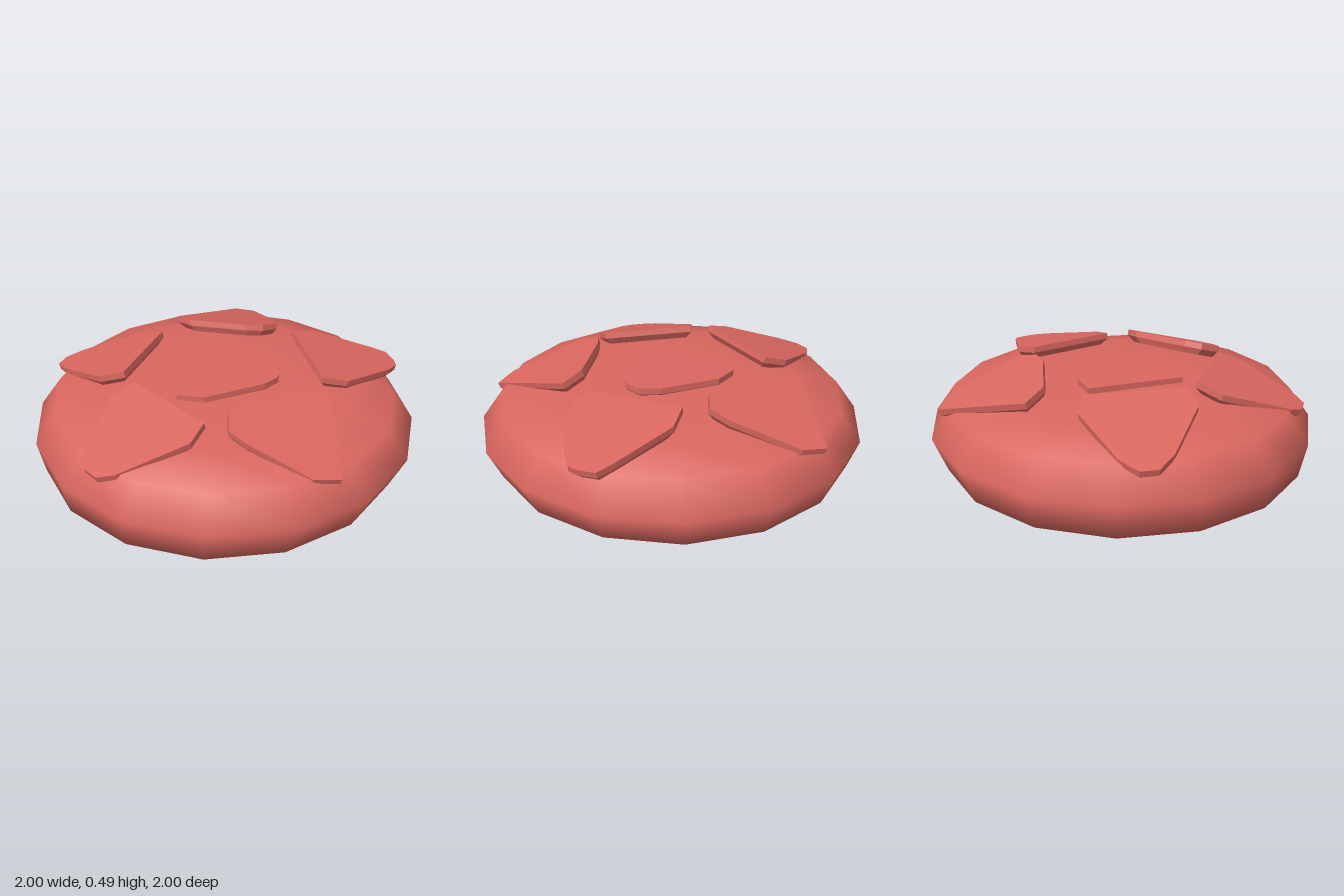
import * as THREE from 'three';

const dough = new THREE.MeshStandardMaterial({ color: 0xd9675f });
dough.name = 'reddish dough';

// Round body: sixteen-sided, smooth, with a slightly shifted base ring
function makeBody() {
  const profile = [[0, 0], [0.6, 0], [0.945, 0], [1, 0.17], [0.89, 0.32], [0.66, 0.37], [0.35, 0.385], [0, 0.388]];
  const geo = new THREE.LatheGeometry(profile.map(([r, y]) => new THREE.Vector2(r, y)), 16);
  const p = geo.attributes.position;
  for (let i = 0; i < p.count; i++) {
    if (p.getY(i) < 0.01) p.setX(i, p.getX(i) - 0.025);
  }
  const mesh = new THREE.Mesh(geo, dough);
  mesh.name = 'cookieBody';
  return mesh;
}

// Chunk: flat tilted top (y = h + a*x + b*z), short side band, tapered underside
function makeChunk(name, outline, [h, a, b]) {
  const area = outline.reduce((s, [x, z], i) => {
    const [x2, z2] = outline[(i + 1) % outline.length];
    return s + x * z2 - x2 * z;
  }, 0);
  const pts = area > 0 ? [...outline].reverse() : outline;
  const top = pts.map(([x, z]) => new THREE.Vector3(x, h + a * x + b * z, z));
  const n = top.length;
  const centre = top.reduce((s, v) => s.add(v), new THREE.Vector3()).divideScalar(n);
  const normal = new THREE.Vector3(-a, 1, -b).normalize();
  const sink = (v, scale, depth) => v.clone().sub(centre).multiplyScalar(scale).add(centre).addScaledVector(normal, -depth);
  const loops = [[1, 0], [1, 0.032], [0.88, 0.065]].map(([s, d]) => top.map((v) => sink(v, s, d)));
  const base = sink(centre, 1, 0.065);
  const out = [];
  const tri = (...vs) => vs.forEach((v) => out.push(v.x, v.y, v.z));
  for (let i = 0; i < n; i++) {
    const j = (i + 1) % n;
    tri(centre, loops[0][i], loops[0][j]);
    for (let k = 0; k < 2; k++) {
      const [u, l] = [loops[k], loops[k + 1]];
      tri(u[i], l[i], l[j]);
      tri(u[i], l[j], u[j]);
    }
    tri(base, loops[2][j], loops[2][i]);
  }
  const geo = new THREE.BufferGeometry();
  geo.setAttribute('position', new THREE.Float32BufferAttribute(out, 3));
  geo.computeVertexNormals();
  const mesh = new THREE.Mesh(geo, dough);
  mesh.name = name;
  return mesh;
}

// Height of a plane given one known point on it
const plane = (x, y, z, a, b) => [y - a * x - b * z, a, b];

export function createModel() {
  const group = new THREE.Group();
  group.name = 'cookie';
  group.add(makeBody());

  const chunks = {
    centreChunk: [
      [[-0.1, -0.31], [0.03, -0.27], [0.24, -0.03], [0.28, 0.07], [0.24, 0.16], [0.15, 0.2], [-0.18, 0.22], [-0.3, 0.15]],
      plane(0, 0.42, 0, 0.02, 0),
    ],
    frontChunk: [
      [[-0.05, 0.44], [0.28, 0.38], [0.4, 0.43], [0.25, 0.9], [0.12, 0.88], [-0.11, 0.66], [-0.17, 0.58], [-0.14, 0.48]],
      plane(0.28, 0.478, 0.38, -0.085, -0.33),
    ],
    leftChunk: [
      [[0.47, -0.22], [0.61, -0.225], [0.89, -0.05], [0.955, 0], [0.955, 0.09], [0.94, 0.14], [0.87, 0.19], [0.56, 0.315], [0.43, 0.285]],
      plane(0.47, 0.47, -0.22, -0.2, -0.05),
    ],
    backChunk: [
      [[-0.07, -0.67], [0.37, -0.88], [0.45, -0.78], [0.455, -0.45], [0.43, -0.34], [0.33, -0.305], [0.24, -0.33], [-0.03, -0.53]],
      plane(0.45, 0.34, -0.78, -0.12, 0.27),
    ],
    frontRightChunk: [
      [[-0.62, 0.09], [-0.49, 0.05], [-0.26, 0.49], [-0.35, 0.57], [-0.7, 0.57], [-0.78, 0.54], [-0.82, 0.46], [-0.81, 0.39]],
      plane(-0.49, 0.47, 0.05, 0.268, -0.174),
    ],
    backRightChunk: [
      [[-0.8, -0.52], [-0.75, -0.59], [-0.64, -0.61], [-0.31, -0.55], [-0.22, -0.45], [-0.52, -0.05], [-0.64, -0.11], [-0.78, -0.41]],
      plane(-0.52, 0.475, -0.05, 0.22, 0.2),
    ],
  };
  for (const [name, [outline, tilt]] of Object.entries(chunks)) group.add(makeChunk(name, outline, tilt));
  return group;
}
